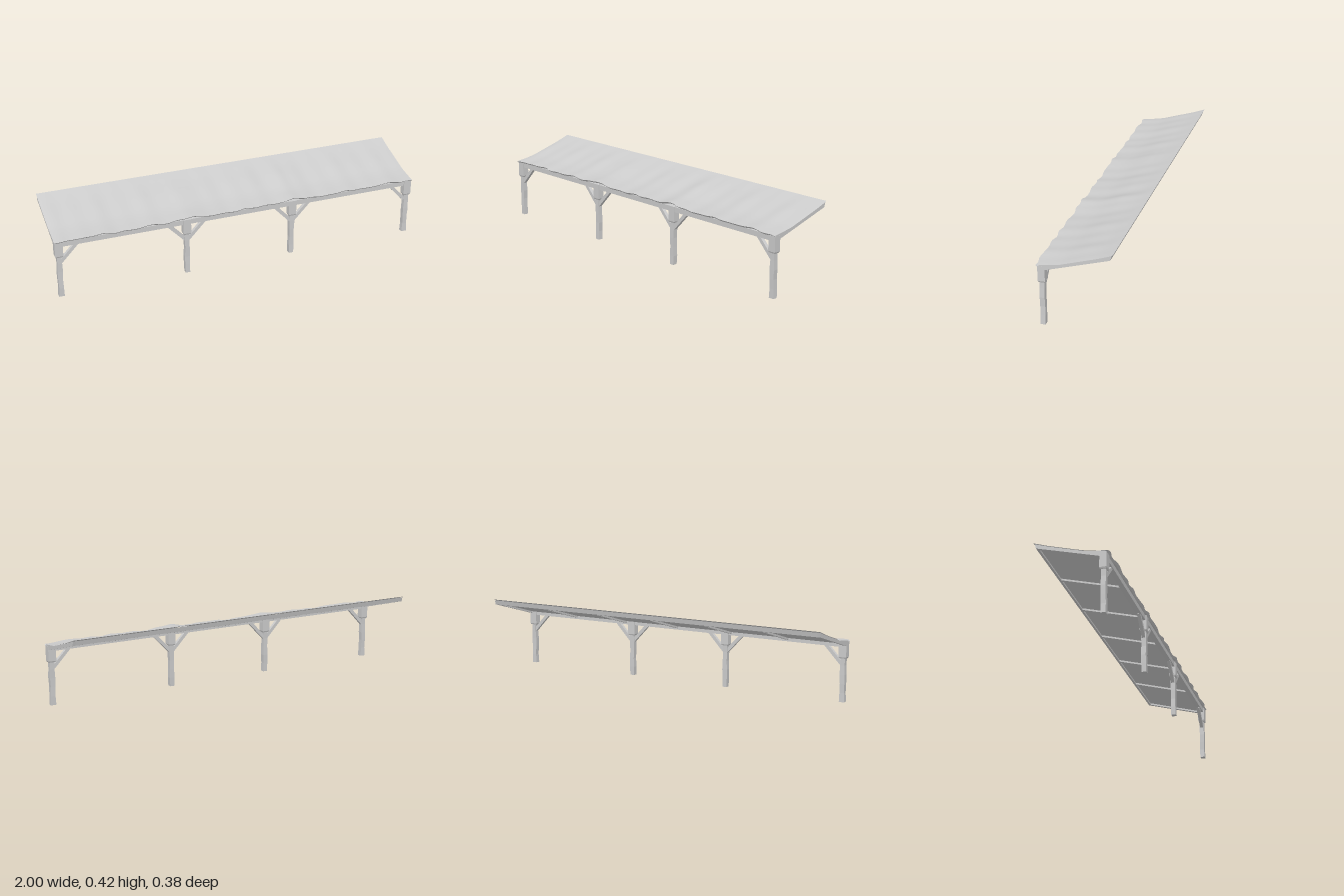
import * as THREE from 'three';

const material = new THREE.MeshStandardMaterial({ color: 0xcccccc, flatShading: true });
const clothMaterial = new THREE.MeshStandardMaterial({ color: 0xcccccc, side: THREE.DoubleSide });

const POSTS = [-0.978, -0.3, 0.292, 0.978];
const POST_Z = 0.16;
const SLOPE = 0.29;                       // rise per unit of depth
const underside = z => 0.295 + (0.145 - z) * SLOPE;

// Lowest and highest runs of the canvas, as [z, y] from front to back
const LOW = [[0.19, 0.319], [0.13, 0.326], [0.065, 0.337], [-0.115, 0.391], [-0.19, 0.418]];
const HIGH = [[0.19, 0.336], [0.1, 0.343], [0.05, 0.357], [-0.03, 0.385], [-0.19, 0.418]];

function heightAt(profile, z) {
  for (let i = 1; i < profile.length; i++) {
    const [z0, y0] = profile[i - 1], [z1, y1] = profile[i];
    if (z >= z1 || i === profile.length - 1) return y0 + (y1 - y0) * (z0 - z) / (z0 - z1);
  }
}

function add(parent, name, geometry, mat = material) {
  const mesh = new THREE.Mesh(geometry, mat);
  mesh.name = name;
  parent.add(mesh);
  return mesh;
}

function box(parent, name, size, position) {
  const mesh = add(parent, name, new THREE.BoxGeometry(...size));
  mesh.position.set(...position);
  return mesh;
}

// Flat piece outlined in [z, y] and given a width along x
function sidePiece(parent, name, outline, width, x) {
  const shape = new THREE.Shape(outline.map(p => new THREE.Vector2(...p)));
  const g = new THREE.ExtrudeGeometry(shape, { depth: width, bevelEnabled: false });
  g.translate(0, 0, -width / 2).rotateY(-Math.PI / 2);
  add(parent, name, g).position.x = x;
}

// Rough-hewn square post, slightly crooked
function postGeometry(seed) {
  const g = new THREE.BoxGeometry(0.026, 0.24, 0.025, 1, 5, 1);
  g.translate(0, 0.12, 0);
  const p = g.attributes.position;
  for (let i = 0; i < p.count; i++) {
    const y = p.getY(i);
    const wobble = 0.0018 * Math.sin(y * 45 + seed * 2.1 + Math.sign(p.getX(i)));
    p.setX(i, p.getX(i) + wobble);
    p.setZ(i, p.getZ(i) + 0.0008 * Math.sin(y * 38 + seed));
  }
  g.computeVertexNormals();
  return g;
}

// Canvas lifted over the inner posts, with shallow folds running front to back
function canvasGeometry() {
  const g = new THREE.PlaneGeometry(2, 0.38, 180, 20).rotateX(-Math.PI / 2);
  const p = g.attributes.position;
  for (let i = 0; i < p.count; i++) {
    const x = p.getX(i), z = p.getZ(i), front = (z + 0.19) / 0.38;
    let lift = 0.27 + 0.13 * Math.sin(x * 23 + z * 3) + 0.09 * Math.sin(x * 51 + 1.3) + 0.07 * Math.sin(x * 11 - z * 6);
    for (const c of [POSTS[1], POSTS[2]]) lift += 0.55 * Math.exp(-(((x - c) / 0.045) ** 2));
    lift *= 1 - Math.pow(Math.abs(x), 24);
    lift = Math.min(1, Math.max(0, lift));
    p.setY(i, heightAt(LOW, z) * (1 - lift) + heightAt(HIGH, z) * lift);
    p.setZ(i, z - 0.004 * Math.pow(front, 8) * (1 + Math.sin(x * 47 + Math.sin(x * 19))));
  }
  g.computeVertexNormals();
  return g;
}

// Narrow hem turned down under the front edge of the canvas
function hemGeometry(canvas) {
  const g = new THREE.PlaneGeometry(2, 1, 180, 1);
  const p = g.attributes.position, c = canvas.attributes.position;
  const start = 20 * 181;
  for (let i = 0; i <= 180; i++) {
    const x = c.getX(start + i), y = c.getY(start + i), z = c.getZ(start + i);
    p.setXYZ(i, x, y, z);
    p.setXYZ(i + 181, x, y - 0.009, z - 0.01);
  }
  g.computeVertexNormals();
  return g;
}

export function createModel() {
  const model = new THREE.Group();
  model.name = 'leanToShelter';

  // Posts with thick heads and diagonal braces
  POSTS.forEach((x, i) => {
    const support = new THREE.Group();
    support.name = 'support';
    support.position.set(x, 0, POST_Z);
    model.add(support);
    add(support, 'post', postGeometry(i));
    box(support, 'postHead', [0.042, 0.08, 0.036], [0, 0.275, 0]);
    const collar = add(support, 'headChamfer', new THREE.CylinderGeometry(0.0297, 0.025, 0.007, 4).rotateY(Math.PI / 4));
    collar.scale.z = 0.86;
    collar.position.y = 0.2315;
    for (const side of [-1, 1]) {
      if (Math.abs(x + side * 0.1) > 1) continue;
      const brace = box(support, 'brace', [0.018, 0.13, 0.018], [side * 0.051, 0.243, 0]);
      brace.rotation.z = -side * 0.76;
    }
  });

  // Front beam carried by the posts
  box(model, 'frontBeam', [1.98, 0.027, 0.026], [0, 0.3, POST_Z]);

  // Rear beam under the high edge
  sidePiece(model, 'rearBeam', [
    [-0.163, underside(-0.163)], [-0.163, 0.404], [-0.183, 0.412], [-0.177, underside(-0.177)],
  ], 1.99, 0);

  // End rafters, filled up to the canvas
  for (const side of [-1, 1]) {
    sidePiece(model, 'endRafter', [
      [0.145, underside(0.145)], [0.172, 0.3], [0.172, 0.319], [0.065, 0.335],
      [-0.115, 0.389], [-0.184, 0.413], [-0.177, underside(-0.177)],
    ], 0.016, side * 0.99);
  }

  // Five inner rafters dividing the underside into six bays
  for (let i = -2; i <= 2; i++) {
    sidePiece(model, 'rafter', [
      [0.15, underside(0.15)], [0.15, underside(0.15) + 0.013],
      [-0.17, underside(-0.17) + 0.013], [-0.17, underside(-0.17)],
    ], 0.016, i / 3);
  }

  // Thin lining board between the rafters
  sidePiece(model, 'lining', [
    [0.15, underside(0.15) + 0.01], [0.15, underside(0.15) + 0.013],
    [-0.17, underside(-0.17) + 0.013], [-0.17, underside(-0.17) + 0.01],
  ], 1.97, 0);

  // Canvas roof and its hem
  const canvas = canvasGeometry();
  add(model, 'canvasRoof', canvas, clothMaterial);
  add(model, 'canvasHem', hemGeometry(canvas), clothMaterial);

  return model;
}
